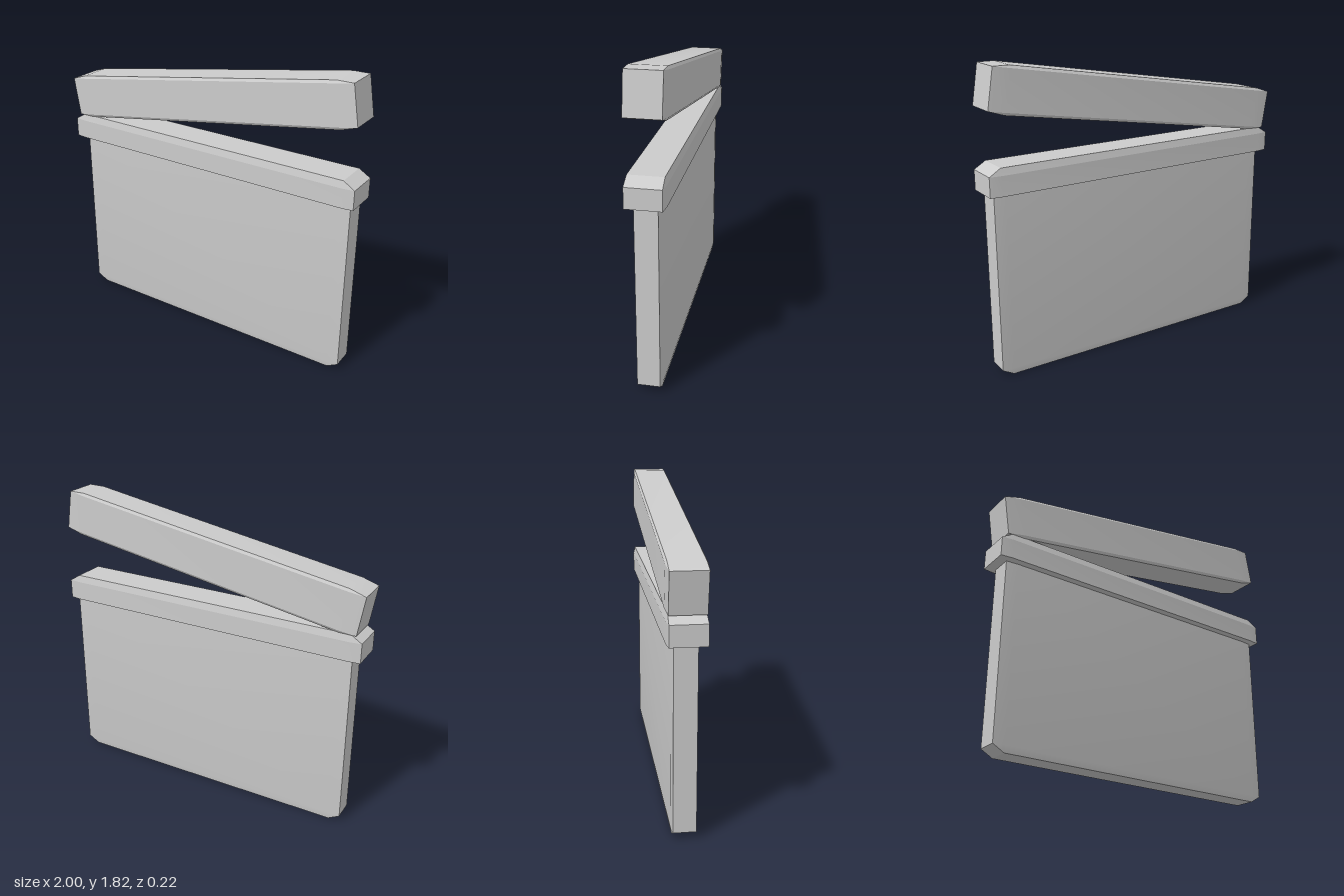
import * as THREE from 'three';
import { toCreasedNormals } from 'three/addons/utils/BufferGeometryUtils.js';

const material = new THREE.MeshStandardMaterial({ color: 0xcccccc });

// Slab along x: rectangular ends, and a middle that swells by `top` / `bottom`
// past its side edges, with softly bevelled long edges.
function bevelledSlab(name, { half, inset, y0, y1, top = 0, bottom = 0, endZ, midZ, topZ = midZ, bottomZ = midZ }) {
  const ring = (x, mid) => {
    const t = mid ? top : 0, b = mid ? bottom : 0;
    const z = mid ? midZ : endZ, zt = mid ? topZ : endZ, zb = mid ? bottomZ : endZ;
    return [
      [y1 + t, -zt], [y1 + t, zt], [y1, z], [y0, z],
      [y0 - b, zb], [y0 - b, -zb], [y0, -z], [y1, -z],
    ].map(([py, pz]) => new THREE.Vector3(x, py, pz));
  };
  const rings = [ring(-half, false), ring(-half + inset, true), ring(half - inset, true), ring(half, false)];

  const points = [];
  const triangle = (a, b, c) => {
    const area = b.clone().sub(a).cross(c.clone().sub(a)).length();
    if (area > 1e-8) points.push(a, b, c);
  };
  for (let i = 0; i < rings.length - 1; i++) {
    for (let j = 0; j < 8; j++) {
      const k = (j + 1) % 8;
      triangle(rings[i][j], rings[i][k], rings[i + 1][k]);
      triangle(rings[i][j], rings[i + 1][k], rings[i + 1][j]);
    }
  }
  // End caps
  const [first, last] = [rings[0], rings[3]];
  for (let j = 1; j < 7; j++) {
    triangle(last[0], last[j], last[j + 1]);
    triangle(first[0], first[j + 1], first[j]);
  }
  const geometry = new THREE.BufferGeometry().setFromPoints(points);
  const mesh = new THREE.Mesh(toCreasedNormals(geometry, 0.2), material);
  mesh.name = name;
  return mesh;
}

export function createModel() {
  const group = new THREE.Group();
  group.name = 'openBox';

  // Thin container with clipped lower corners
  const body = bevelledSlab('body', {
    half: 0.952, inset: 0.07, y0: 0.04, y1: 1.13, bottom: 0.04,
    endZ: 0.065, midZ: 0.071, bottomZ: 0.064,
  });
  body.position.set(0.012, 0, -0.006);

  // Rim with clipped upper corners
  const rim = bevelledSlab('rim', {
    half: 0.998, inset: 0.07, y0: 1.113, y1: 1.232, top: 0.043,
    endZ: 0.102, midZ: 0.11, topZ: 0.1,
  });

  // Tilted lid resting on one end of the rim
  const lid = bevelledSlab('lid', {
    half: 0.986, inset: 0.1, y0: -0.119, y1: 0.119, top: 0.016, bottom: 0.016,
    endZ: 0.101, midZ: 0.11, topZ: 0.1, bottomZ: 0.1,
  });
  lid.position.set(-0.0075, 1.5475, 0);
  lid.rotation.z = 0.163;

  group.add(body, rim, lid);
  return group;
}
